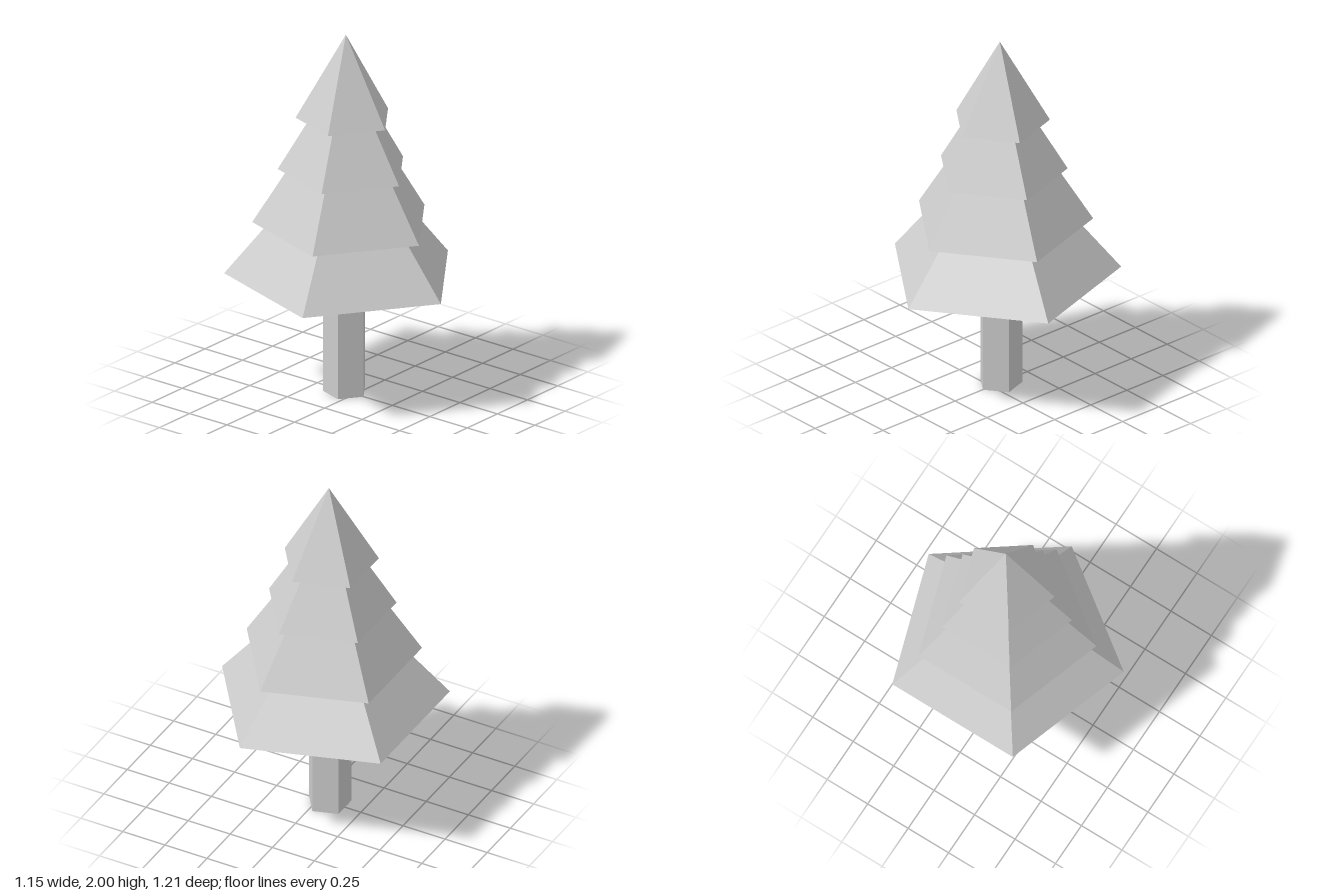
import * as THREE from 'three';

const SIDES = 5;

export function createModel() {
  const tree = new THREE.Group();
  tree.name = 'pineTree';
  const material = new THREE.MeshStandardMaterial({ color: 0xcccccc, flatShading: true });

  // Five-sided frustum between two heights, with one corner pointing to +x
  function addFrustum(name, y0, y1, rBottom, rTop) {
    const geometry = new THREE.CylinderGeometry(rTop, rBottom, y1 - y0, SIDES, 1, false, Math.PI / 2);
    const mesh = new THREE.Mesh(geometry, material);
    mesh.name = name;
    mesh.position.set(-0.06, (y0 + y1) / 2, 0);
    tree.add(mesh);
  }

  addFrustum('trunk', 0, 0.65, 0.118, 0.118);

  // Foliage tiers from bottom to tip: base height, top height, base radius, top radius
  const tiers = [
    [0.65, 0.94, 0.634, 0.4],
    [0.94, 1.24, 0.488, 0.303],
    [1.24, 1.53, 0.355, 0.186],
    [1.53, 2, 0.262, 0],
  ];
  tiers.forEach((tier, i) => addFrustum(`foliageTier${i + 1}`, ...tier));

  return tree;
}
